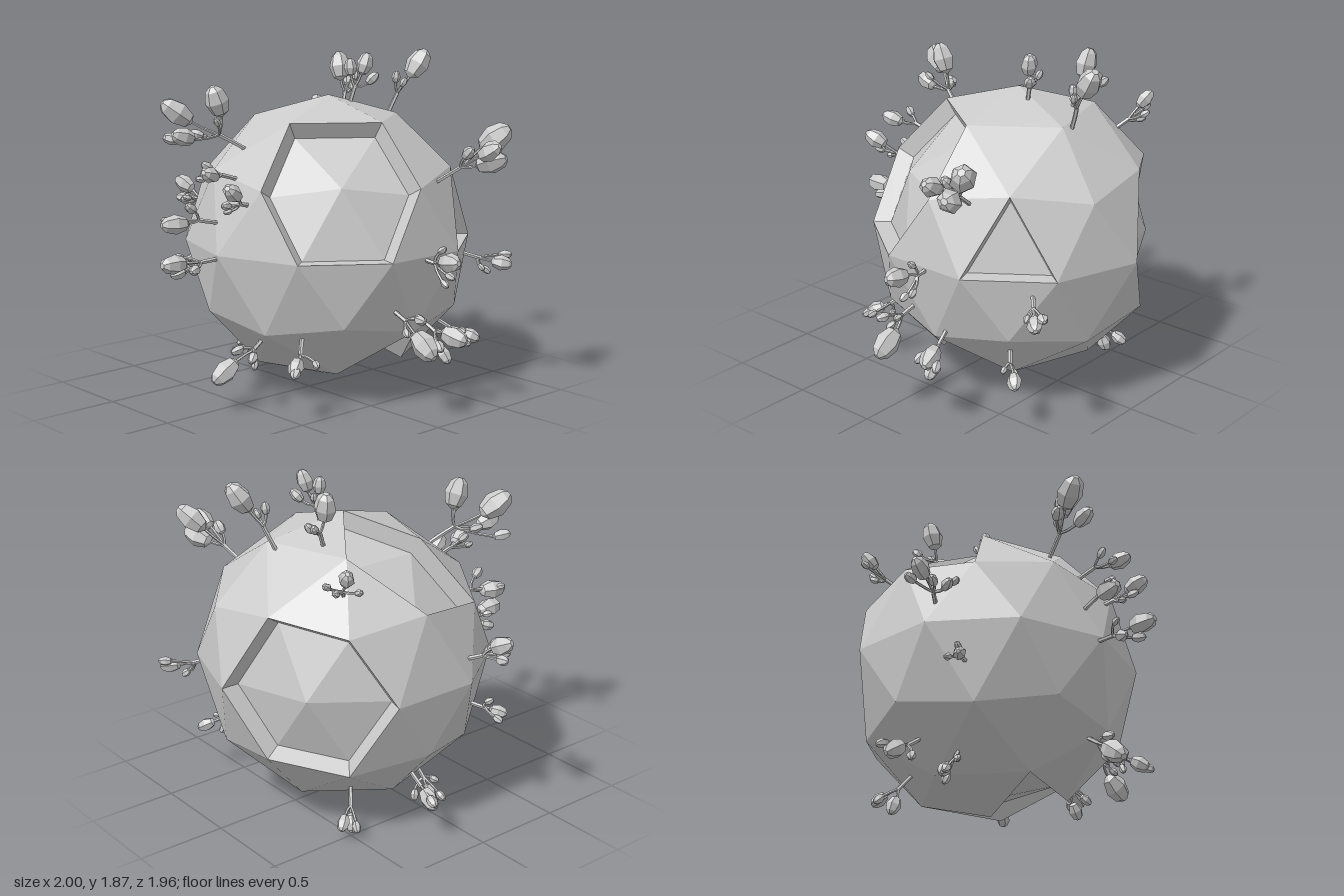
import * as THREE from 'three';

const CENTRE = new THREE.Vector3(-0.035, 0.84, -0.175);
const RADIUS = 0.805, FLOOR = 0.875;
const grey = new THREE.MeshStandardMaterial({ color: 0xcccccc, flatShading: true });

// Height and ring radius of each row of corners on the faceted globe
const ROWS = {
  N: [1, 0], p: [0.851, 0.526], m: [0.526, 0.851], u: [0.447, 0.894], e: [0, 1],
  l: [-0.447, 0.894], w: [-0.526, 0.851], q: [-0.851, 0.526], S: [-1, 0],
};
const at = (row, deg) => row + ((deg + 360) % 360);
function corner(label, scale = 1) {
  const [y, r] = ROWS[label[0]];
  const a = THREE.MathUtils.degToRad(Number(label.slice(1)));
  return new THREE.Vector3(r * Math.sin(a), y, r * Math.cos(a)).multiplyScalar(RADIUS * scale);
}

// The 80 facets: each big triangle is split in four
function globeFacets() {
  const out = [];
  const split = (a, b, c, ab, bc, ca) =>
    out.push([a, ab, ca], [ab, b, bc], [ca, bc, c], [ab, bc, ca]);
  for (let k = 0; k < 5; k++) {
    const d = 18 + 72 * k;
    split('N0', at('u', d), at('u', d + 72), at('p', d), at('m', d + 36), at('p', d + 72));
    split(at('u', d), at('l', d + 36), at('u', d + 72), at('e', d + 18), at('e', d + 54), at('m', d + 36));
    split(at('l', d + 36), at('l', d + 108), at('u', d + 72), at('w', d + 72), at('e', d + 90), at('e', d + 54));
    split('S0', at('l', d + 36), at('l', d + 108), at('q', d + 36), at('w', d + 72), at('q', d + 108));
  }
  // Turn every facet outward
  for (const f of out) {
    const [a, b, c] = f.map((s) => corner(s));
    if (b.clone().sub(a).cross(c.clone().sub(a)).dot(a) < 0) f.reverse();
  }
  return out;
}

// Sunken areas: two whole hexagons, plus single facets
const SUNK_HEXAGONS = ['m54', 'e216'];
const SUNK_FACETS = [
  'N0 p234 p306', 'p234 m270 p306', 'm270 u306 p306',
  'm126 e108 e144',
  'S0 q342 q54', 'S0 q54 q126', 'S0 q126 q198', 'q54 q126 w90',
].map((s) => s.split(' ').sort().join());

function globe() {
  const facets = globeFacets();
  const sunk = (f) => f.some((s) => SUNK_HEXAGONS.includes(s)) || SUNK_FACETS.includes([...f].sort().join());
  const floors = facets.filter(sunk);
  const edges = new Set(floors.flatMap((f) => f.map((s, i) => s + '>' + f[(i + 1) % 3])));
  const pts = [];
  for (const f of facets) pts.push(...f.map((s) => corner(s, sunk(f) ? FLOOR : 1)));
  // Walls around the sunken areas
  for (const edge of edges) {
    const [a, b] = edge.split('>');
    if (edges.has(b + '>' + a)) continue;
    const fa = corner(a, FLOOR), fb = corner(b, FLOOR), A = corner(a), B = corner(b);
    pts.push(fb, fa, A, fb, A, B);
  }
  const g = new THREE.BufferGeometry().setFromPoints(pts);
  g.computeVertexNormals();
  const mesh = new THREE.Mesh(g, grey);
  mesh.position.copy(CENTRE);
  mesh.name = 'globe';
  return mesh;
}

// Faceted leaf bud, one unit long
const budGeometry = new THREE.LatheGeometry(
  [[0, -0.5], [0.27, -0.36], [0.41, 0], [0.3, 0.36], [0.12, 0.5], [0, 0.5]].map(([x, y]) => new THREE.Vector2(x, y)), 6);

function twig(a, b, bend, r) {
  const mid = a.clone().lerp(b, 0.5).add(bend);
  const mesh = new THREE.Mesh(new THREE.TubeGeometry(new THREE.CatmullRomCurve3([a, mid, b]), 5, r, 5), grey);
  mesh.name = 'twig';
  return mesh;
}

// One sprout: a stem from its root to a fork, then a twig and a bud per [x, y, z, length]
function sprout(root, ...buds) {
  const g = new THREE.Group();
  g.name = 'sprout';
  const base = new THREE.Vector3(...root);
  const out = base.clone().sub(CENTRE).normalize();
  const mean = new THREE.Vector3();
  for (const b of buds) mean.add(new THREE.Vector3(b[0], b[1], b[2]).divideScalar(buds.length));
  const fork = base.clone().lerp(mean, 0.5);
  const stem = twig(base.clone().addScaledVector(out, -0.06), fork, out.clone().multiplyScalar(0.008), 0.012);
  stem.name = 'stem';
  g.add(stem);
  buds.forEach(([x, y, z, len], i) => {
    const tip = new THREE.Vector3(x, y, z);
    const dir = tip.clone().sub(fork).normalize().addScaledVector(out, 0.6).normalize();
    const foot = tip.clone().addScaledVector(dir, -len * 0.42);
    g.add(twig(fork, foot, out.clone().multiplyScalar(-0.008), 0.008));
    const bud = new THREE.Mesh(budGeometry, grey);
    bud.position.copy(tip);
    bud.quaternion.setFromUnitVectors(new THREE.Vector3(0, 1, 0), dir);
    bud.rotateY(i * 1.3);
    bud.scale.set(len * 0.92, len, len * 0.82);
    bud.name = 'bud';
    g.add(bud);
  });
  return g;
}

export function createModel() {
  const model = new THREE.Group();
  model.name = 'sproutingGlobe';
  model.add(globe());
  // Sprouts on the crown
  model.add(
    sprout([0.02, 1.6, -0.28], [0.08, 1.81, -0.34, 0.13], [0.02, 1.79, -0.29, 0.1], [0.11, 1.73, -0.37, 0.09], [0, 1.74, -0.34, 0.06]),
    sprout([-0.18, 1.55, -0.42], [-0.25, 1.77, -0.46, 0.17], [-0.2, 1.66, -0.52, 0.07], [-0.28, 1.68, -0.55, 0.07]),
    sprout([0.02, 1.53, -0.6], [0.1, 1.79, -0.74, 0.19], [0.06, 1.72, -0.61, 0.07], [0.09, 1.69, -0.64, 0.06]),
    sprout([-0.45, 1.37, -0.5], [-0.6, 1.52, -0.6, 0.12], [-0.66, 1.46, -0.57, 0.06], [-0.54, 1.43, -0.62, 0.06], [-0.52, 1.47, -0.66, 0.06]),
  );
  // Sprouts on the left side
  model.add(
    sprout([0.6, 1.2, -0.38], [0.85, 1.45, -0.56, 0.2], [0.88, 1.33, -0.5, 0.18], [0.93, 1.4, -0.43, 0.15], [0.8, 1.38, -0.41, 0.09]),
    sprout([0.7, 0.83, -0.18], [0.91, 0.84, -0.16, 0.15], [0.83, 0.89, -0.19, 0.06], [0.86, 0.75, -0.22, 0.06], [0.87, 0.72, -0.17, 0.06]),
    sprout([0.5, 0.76, -0.72], [0.66, 0.7, -0.86, 0.12], [0.6, 0.66, -0.8, 0.06], [0.65, 0.74, -0.9, 0.08], [0.6, 0.68, -0.76, 0.05]),
    sprout([0.65, 0.55, -0.02], [0.86, 0.41, -0.03, 0.19], [0.86, 0.55, 0, 0.08], [0.8, 0.54, -0.05, 0.06], [0.78, 0.47, 0.02, 0.06]),
    sprout([0.63, 0.48, -0.24], [0.82, 0.4, -0.3, 0.16], [0.78, 0.3, -0.27, 0.11], [0.8, 0.36, -0.21, 0.08], [0.84, 0.37, -0.36, 0.08]),
    sprout([0.48, 0.38, -0.55], [0.6, 0.3, -0.68, 0.11], [0.52, 0.29, -0.62, 0.06], [0.6, 0.34, -0.61, 0.05]),
  );
  // Sprouts on the right side and underneath
  model.add(
    sprout([-0.75, 0.95, 0.08], [-0.92, 1.07, 0.16, 0.14], [-0.88, 1, 0.21, 0.08], [-0.96, 1.01, 0.13, 0.08], [-0.8, 1, 0.23, 0.09], [-0.77, 1.02, 0.26, 0.06]),
    sprout([-0.66, 0.62, 0.23], [-0.77, 0.6, 0.3, 0.1], [-0.74, 0.66, 0.26, 0.06], [-0.81, 0.58, 0.26, 0.06]),
    sprout([-0.6, 0.3, -0.16], [-0.75, 0.22, -0.17, 0.14], [-0.81, 0.24, -0.2, 0.08], [-0.7, 0.18, -0.1, 0.07]),
    sprout([-0.46, 0.25, 0], [-0.56, 0.12, 0, 0.1], [-0.6, 0.1, 0.05, 0.07], [-0.5, 0.1, -0.05, 0.07], [-0.53, 0.17, 0.06, 0.06]),
    sprout([-0.4, 0.22, -0.42], [-0.47, 0.06, -0.47, 0.11], [-0.5, 0.1, -0.55, 0.1], [-0.55, 0.08, -0.5, 0.07]),
  );
  // Sprouts on the front
  model.add(
    sprout([-0.13, 1.4, 0.36], [-0.32, 1.58, 0.66, 0.2], [-0.18, 1.64, 0.5, 0.18], [-0.4, 1.43, 0.64, 0.1], [-0.24, 1.46, 0.68, 0.14], [-0.29, 1.46, 0.55, 0.08], [-0.12, 1.54, 0.55, 0.06]),
    sprout([-0.05, 1.25, 0.48], [0.02, 1.29, 0.71, 0.13], [-0.07, 1.32, 0.66, 0.07], [-0.05, 1.26, 0.72, 0.06]),
    sprout([0.1, 1.12, 0.5], [0.18, 1.21, 0.69, 0.14], [0.14, 1.14, 0.7, 0.07], [0.1, 1.1, 0.66, 0.05]),
    sprout([-0.1, 1, 0.56], [-0.18, 1.01, 0.79, 0.16], [-0.11, 1.1, 0.74, 0.08], [-0.22, 1.03, 0.82, 0.06]),
    sprout([-0.05, 0.82, 0.6], [-0.05, 0.83, 0.9, 0.16], [-0.12, 0.76, 0.82, 0.09], [0.02, 0.8, 0.82, 0.08], [-0.14, 0.84, 0.8, 0.06]),
    sprout([0.33, 0.39, 0.36], [0.43, 0.3, 0.48, 0.12], [0.36, 0.27, 0.42, 0.06], [0.52, 0.32, 0.42, 0.06], [0.46, 0.28, 0.51, 0.08]),
    sprout([0.08, 0.37, 0.4], [0.03, 0.22, 0.63, 0.18], [0.15, 0.3, 0.54, 0.08], [0.12, 0.25, 0.5, 0.06], [0.06, 0.33, 0.57, 0.08]),
  );
  return model;
}
